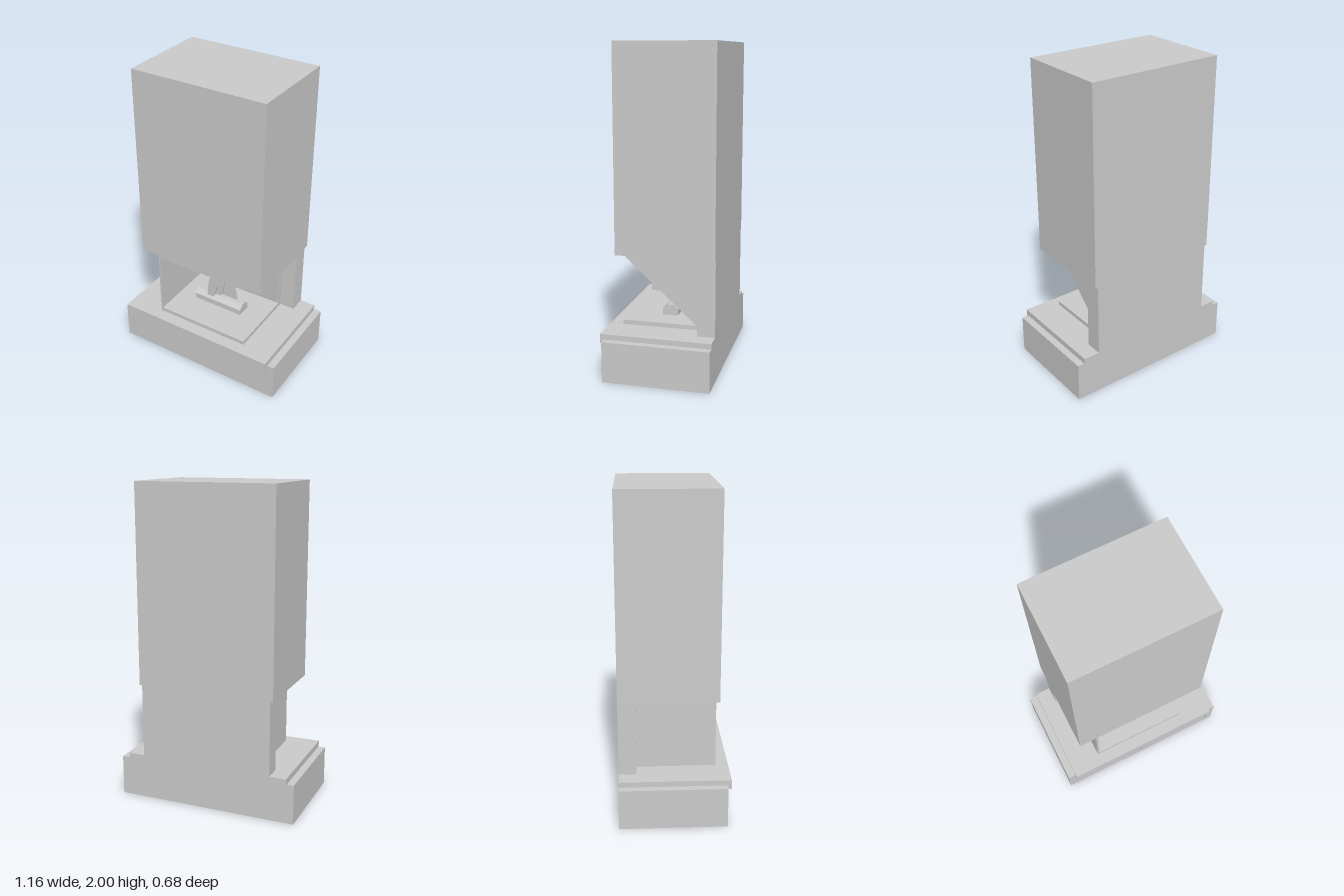
import * as THREE from 'three';

const grey = new THREE.MeshStandardMaterial({ color: 0xcccccc, flatShading: true, side: THREE.DoubleSide });

export function createModel() {
  const model = new THREE.Group();
  model.name = 'fireplace';

  const add = (name, geometry, parent = model) => {
    const mesh = new THREE.Mesh(geometry, grey);
    mesh.name = name;
    parent.add(mesh);
    return mesh;
  };
  // Box given by its limits along each axis
  const block = (name, [x0, x1], [y0, y1], [z0, z1]) => {
    const mesh = add(name, new THREE.BoxGeometry(x1 - x0, y1 - y0, z1 - z0));
    mesh.position.set((x0 + x1) / 2, (y0 + y1) / 2, (z0 + z1) / 2);
    return mesh;
  };
  const polygon = (points) => new THREE.Shape(points.map(([x, y]) => new THREE.Vector2(x, y)));

  const back = -0.34;
  const gap = 0.002; // half width of the masonry joints

  // Plinth: two facing blocks between two end slabs, around a solid core
  block('plinthCore', [-0.57, 0.57], [0.002, 0.245], [back, 0.308]);
  for (const s of [-1, 1]) {
    const side = s > 0 ? 'left' : 'right';
    const span = (a, b) => (s > 0 ? [a, b] : [-b, -a]);
    block(side + 'PlinthBlock', span(gap, 0.533 - gap), [0, 0.225], [back, 0.315]);
    block(side + 'PlinthEnd', span(0.533 + gap, 0.58), [0, 0.252], [back, 0.315]);
    // Outer hearth slabs
    block(side + 'HearthSlab', span(0.305 + gap, 0.53), [0.225, 0.283], [back, 0.34]);
  }
  block('middleHearthSlab', [-0.305 + gap, 0.305 - gap], [0.225, 0.283], [back, 0.34]);
  block('hearthCore', [-0.52, 0.52], [0.23, 0.281], [back, 0.333]);

  // Chimney breast and hood
  block('chimneyBreast', [-0.425, 0.425], [0.28, 0.75], [back, -0.23]);
  block('hood', [-0.442, 0.442], [0.75, 2], [back, 0.27]);

  // Firebox, open at the front and partly open at its left side
  block('fireboxFloor', [-0.325, 0.325], [0.28, 0.31], [-0.23, 0.26]);
  block('fireboxCeiling', [-0.325, 0.325], [0.725, 0.75], [-0.23, 0.26]);
  block('fireboxBack', [-0.325, 0.325], [0.31, 0.725], [-0.23, -0.2]);
  block('fireboxRightWall', [-0.325, -0.31], [0.31, 0.725], [-0.2, 0.26]);

  // Triangular side panel: shape x runs towards the back
  const panel = add('fireboxLeftPanel', new THREE.ShapeGeometry(
    polygon([[-0.26, 0.725], [0.2, 0.31], [0.2, 0.725]])));
  panel.rotation.y = Math.PI / 2;
  panel.position.x = 0.318;

  // Log half sunk into the floor
  const log = new THREE.CylinderGeometry(0.053, 0.053, 0.355, 8);
  log.rotateY(Math.PI / 8);
  log.rotateZ(Math.PI / 2);
  add('log', log).position.set(-0.008, 0.328, 0);

  // Flames: thin jagged blades, one behind another
  const fire = new THREE.Group();
  fire.name = 'fire';
  model.add(fire);
  const blades = [
    [0.022, [[-0.1, 0.36], [-0.09, 0.47], [-0.066, 0.566], [-0.03, 0.525], [-0.02, 0.46], [-0.05, 0.36]]],
    [0.002, [[-0.055, 0.36], [-0.045, 0.46], [-0.012, 0.55], [0.012, 0.6], [0.024, 0.5], [0.01, 0.42], [-0.02, 0.36]]],
    [-0.018, [[-0.03, 0.36], [0, 0.47], [0.015, 0.58], [0.045, 0.65], [0.066, 0.57], [0.092, 0.48], [0.115, 0.36]]],
    [-0.036, [[-0.11, 0.36], [-0.085, 0.41], [-0.055, 0.48], [-0.025, 0.56], [0.005, 0.48], [0.04, 0.36]]],
  ];
  blades.forEach(([z, points], i) => {
    const geometry = new THREE.ExtrudeGeometry(polygon(points), { depth: 0.012, bevelEnabled: false });
    add('flame' + (i + 1), geometry, fire).position.z = z;
  });

  return model;
}
